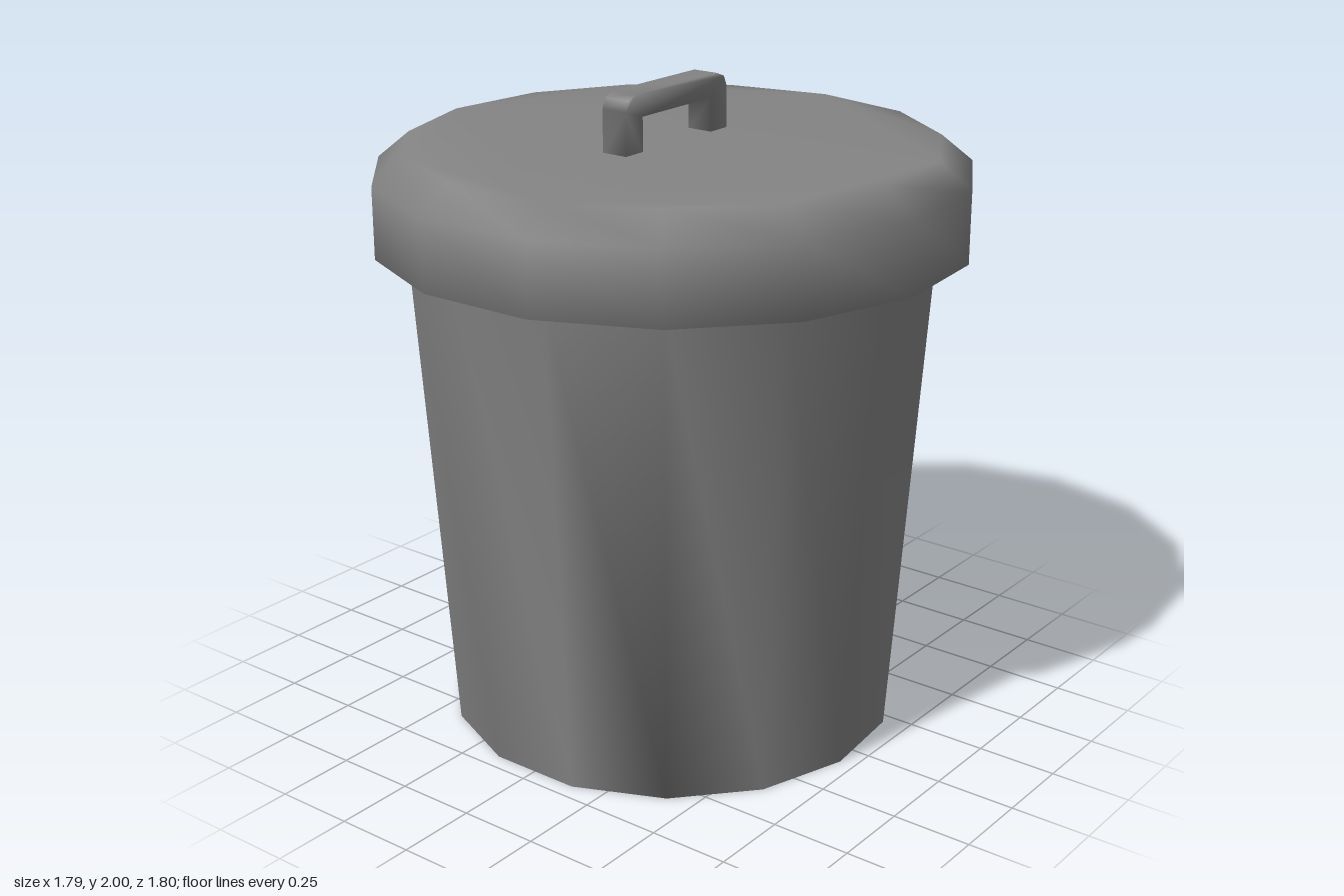
import * as THREE from 'three';
import { mergeVertices } from 'three/addons/utils/BufferGeometryUtils.js';

const SIDES = 15;
const material = new THREE.MeshStandardMaterial({ color: 0x848484 });

// Weld the corners and shade everything smoothly
function smooth(geometry) {
  geometry.deleteAttribute('normal');
  geometry.deleteAttribute('uv');
  const welded = mergeVertices(geometry);
  welded.computeVertexNormals();
  return welded;
}

// Fill a ring of vertices by cutting off every other corner until it is closed
function capTriangles(ring) {
  const triangles = [];
  while (ring.length > 2) {
    for (let i = 0; i + 1 < ring.length; i += 2) {
      const next = ring[(i + 2) % ring.length];
      if (next !== ring[i]) triangles.push([ring[i], ring[i + 1], next]);
    }
    ring = ring.filter((_, i) => i % 2 === 0);
  }
  return triangles;
}

// Tapered bin and overhanging lid as one closed skin, with a corner pointing to +x
function createBin() {
  const profile = [
    [0.704, 0], [0.808, 1.527],
    [0.906, 1.527], [0.906, 1.745], [0.808, 1.826],
  ].map(([r, y]) => new THREE.Vector2(r, y));
  const geometry = new THREE.LatheGeometry(profile, SIDES, Math.PI / 2);

  const ring = (level, start, step) => Array.from({ length: SIDES }, (_, i) =>
    ((start + step * i + SIDES) % SIDES) * profile.length + level);
  const bottom = capTriangles(ring(0, 1, 1)).map(([a, b, c]) => [c, b, a]);
  const top = capTriangles(ring(profile.length - 1, 12, -1)).map(([a, b, c]) => [c, b, a]);
  geometry.setIndex([...geometry.index.array, ...bottom.flat(), ...top.flat()]);

  const bin = new THREE.Mesh(smooth(geometry), material);
  bin.name = 'binWithLid';
  bin.position.x = -0.008;
  return bin;
}

// Handle: one mirrored outline, extruded across the lid
function createHandle() {
  const inner = [[0.165, 1.82], [0.165, 1.93]];
  const outer = [[0.243, 1.82], [0.243, 1.955], [0.229, 1.986], [0.195, 2]];
  const mirror = (list) => list.map(([x, y]) => [-x, y]);
  const outline = [
    ...outer,
    ...mirror(outer).reverse(),
    ...mirror(inner),
    ...inner.slice().reverse(),
  ];
  const shape = new THREE.Shape(outline.map(([x, y]) => new THREE.Vector2(x, y)));
  const depth = 0.086;
  const geometry = new THREE.ExtrudeGeometry(shape, { depth, bevelEnabled: false });
  const handle = new THREE.Mesh(smooth(geometry), material);
  handle.name = 'handle';
  handle.position.set(-0.026, 0, -0.014 - depth / 2);
  return handle;
}

export function createModel() {
  const model = new THREE.Group();
  model.name = 'trashCan';
  model.add(createBin(), createHandle());
  return model;
}
